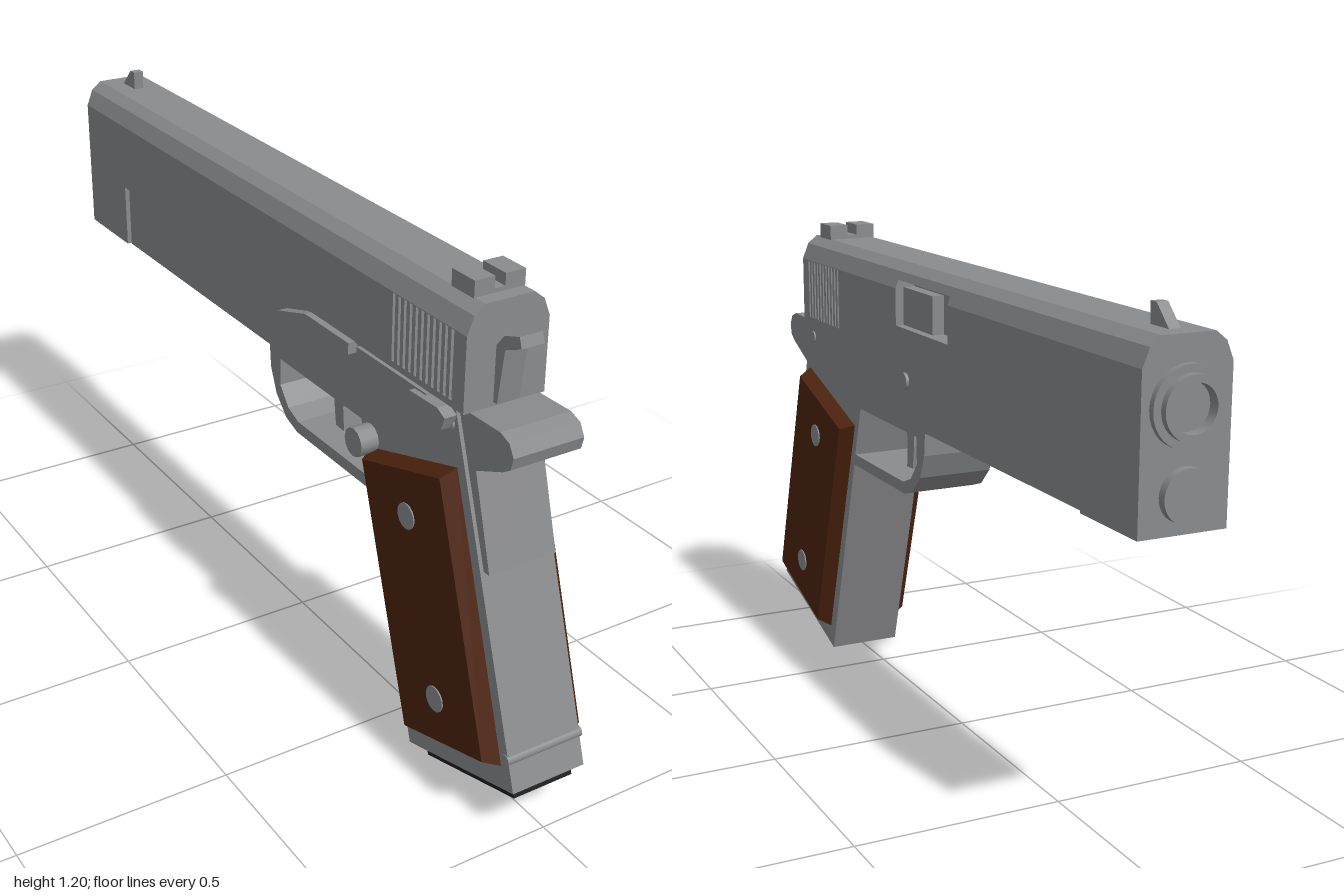
import * as THREE from 'three';
import { toCreasedNormals } from 'three/addons/utils/BufferGeometryUtils.js';

export function createModel() {
  const steel = new THREE.MeshStandardMaterial({ color: 0x8a8b8d });
  steel.name = 'steel grey';
  const wood = new THREE.MeshStandardMaterial({ color: 0x4e240f });
  wood.name = 'walnut brown';
  const black = new THREE.MeshStandardMaterial({ color: 0x1e1d20 });
  black.name = 'magazine black';

  const model = new THREE.Group();
  model.name = 'pistol';
  model.position.x = 0.004;

  function add(name, geometry, material = steel) {
    const mesh = new THREE.Mesh(geometry, material);
    mesh.name = name;
    model.add(mesh);
    return mesh;
  }
  const outline = (pts) => new THREE.Shape(pts.map(([a, b]) => new THREE.Vector2(a, b)));

  // Side profile of [z, y] points, extruded across the width from x0 to x1
  function side(name, pts, x0, x1, material = steel, hole = null) {
    const shape = outline(pts);
    if (hole) shape.holes.push(outline(hole));
    const geo = new THREE.ExtrudeGeometry(shape, { depth: x1 - x0, bevelEnabled: false });
    geo.rotateY(-Math.PI / 2).translate(x1, 0, 0);
    return add(name, geo, material);
  }
  // Cross-section of [x, y] points, extruded from z0 to z1
  function section(name, pts, z0, z1) {
    const geo = new THREE.ExtrudeGeometry(outline(pts), { depth: z1 - z0, bevelEnabled: false });
    return add(name, geo.translate(0, 0, z0));
  }
  // Round pin lying across the width
  function pin(name, z, y, r, x0, x1, sides = 16) {
    const geo = new THREE.CylinderGeometry(r, r, x1 - x0, sides);
    return add(name, geo.rotateZ(Math.PI / 2).translate((x0 + x1) / 2, y, z));
  }

  // Slide: sections with optional cuts in the sides
  const W = 0.101;
  const cut = (x, y0, y1, d) => [[x, y0], [x - Math.sign(x) * d, y0], [x - Math.sign(x) * d, y1], [x, y1]];
  function slideSection(bottom, rightCut = [], leftCut = []) {
    return [
      [-W, bottom], [W, bottom], ...rightCut, [W, 1.09], [0.085, 1.13], [0.06, 1.15],
      [-0.06, 1.15], [-0.085, 1.13], [-W, 1.09], ...leftCut.slice().reverse(),
    ];
  }
  const plain = slideSection(0.92);
  section('slideNose', slideSection(0.76), -0.97, -0.755);
  section('slideFront', plain, -0.755, -0.14);
  const port = [
    [-W, 0.92], [W, 0.92], [W, 1.0], [0.05, 1.0], [0.05, 1.11], [0.093, 1.11],
    [0.085, 1.13], [0.06, 1.15], [-0.06, 1.15], [-0.085, 1.13], [-W, 1.09],
  ];
  section('slideEjectionPort', port, -0.14, 0.15);
  section('slideMiddle', plain, 0.15, 0.52);

  // Rear grip grooves
  const grooved = slideSection(0.92, cut(W, 0.935, 1.088, 0.01), cut(-W, 0.935, 1.088, 0.01));
  const pitch = 0.0205, grooveWidth = 0.009, grooves = 11;
  for (let i = 0; i < grooves; i++) {
    const z = 0.52 + i * pitch;
    section('slideGroove', grooved, z, z + grooveWidth);
    section('slideRib', plain, z + grooveWidth, z + pitch);
  }
  section('slideRear', plain, 0.52 + grooves * pitch, 0.775);

  // Chamber seen through the ejection port
  side('chamber', [[0.15, 1.0], [0.15, 1.092], [-0.015, 1.092], [-0.015, 1.0]], 0.03, 0.08);

  // Muzzle bushing with barrel, and the recoil plug below
  function turned(name, pts, y) {
    const lathe = new THREE.LatheGeometry(pts.map(([r, h]) => new THREE.Vector2(r, h)), 32);
    add(name, toCreasedNormals(lathe.rotateX(-Math.PI / 2).translate(0, y, 0), 0.6));
  }
  turned('muzzle', [[0.083, 0.96], [0.083, 0.984], [0.066, 0.984], [0.066, 1.0],
    [0.05, 1.0], [0.05, 0.973], [0, 0.973]], 1.012);
  turned('recoilPlug', [[0.056, 0.96], [0.056, 0.99], [0, 0.99]], 0.84);

  // Sights
  side('frontSight', [[-0.855, 1.145], [-0.925, 1.145], [-0.875, 1.195], [-0.853, 1.195]], -0.013, 0.013);
  for (const s of [-1, 1]) {
    const lump = new THREE.BoxGeometry(0.049, 0.04, 0.075);
    add('rearSight', lump.translate(s * 0.0375, 1.166, 0.703));
  }
  add('rearSightBase', new THREE.BoxGeometry(0.03, 0.012, 0.075).translate(0, 1.153, 0.703));

  // Frame with grip and trigger guard in one profile
  side('frame', [
    [0.74, 0.92], [1.0, 0.128], [0.625, 0.01], [0.448, 0.583], [0.125, 0.583],
    [0.075, 0.6], [0.03, 0.645], [0.005, 0.705], [0, 0.762], [-0.745, 0.762], [-0.745, 0.92],
  ], -0.094, 0.094, steel, [
    [0.4, 0.743], [0.05, 0.743], [0.048, 0.675], [0.085, 0.63], [0.13, 0.612], [0.44, 0.612],
  ]);
  side('trigger', [[0.245, 0.75], [0.233, 0.68], [0.238, 0.62], [0.203, 0.622], [0.195, 0.68], [0.195, 0.75]],
    -0.035, 0.035);

  // Hammer and grip safety
  side('hammer', [
    [0.77, 0.93], [0.787, 0.93], [0.803, 1.055], [0.853, 1.077], [0.845, 1.1], [0.8, 1.085], [0.77, 1.05],
  ], -0.028, 0.028);
  side('beavertail', [
    [0.72, 0.92], [0.875, 0.923], [0.905, 0.912], [0.92, 0.885], [0.913, 0.857],
    [0.89, 0.842], [0.795, 0.8], [0.72, 0.8],
  ], -0.085, 0.089);
  side('gripSafety', [[0.765, 0.81], [0.805, 0.805], [0.867, 0.59], [0.83, 0.59]], -0.085, 0.085);

  // Wooden grip panels with bevelled borders, showing on both sides
  const panels = new THREE.ExtrudeGeometry(
    outline([[0.755, 0.79], [0.955, 0.172], [0.642, 0.07], [0.44, 0.69]]),
    { depth: 0.19, bevelThickness: 0.035, bevelSize: 0.016, bevelOffset: -0.016, bevelSegments: 1 });
  add('gripPanels', panels.rotateY(-Math.PI / 2).translate(0.095, 0, 0), wood);
  for (const s of [-1, 1]) {
    const [a, b] = s > 0 ? [0.12, 0.133] : [-0.133, -0.12];
    pin('gripScrewTop', 0.634, 0.626, 0.03, a, b);
    pin('gripScrewBottom', 0.762, 0.234, 0.03, a, b);
  }

  // Magazine base
  side('magazineBase', [[0.975, 0.125], [0.984, 0.098], [0.674, 0], [0.665, 0.027]], -0.077, 0.077, black);

  // Controls on the right side of the model
  side('slideStop', [
    [0.08, 0.855], [0.08, 0.885], [0.13, 0.9], [0.2, 0.922], [0.38, 0.922], [0.38, 0.895], [0.22, 0.89], [0.13, 0.855],
  ], -0.118, -0.09);
  side('safetyBar', [[0.4, 0.895], [0.4, 0.92], [0.66, 0.92], [0.66, 0.89]], -0.11, -0.09);
  side('safetyThumbPiece', [
    [0.6, 0.895], [0.62, 0.915], [0.72, 0.918], [0.745, 0.905], [0.735, 0.875], [0.66, 0.87],
  ], -0.124, -0.09);
  pin('magazineButton', 0.437, 0.713, 0.034, -0.139, -0.08, 12);

  // Cross pins
  pin('slideStopPin', 0.11, 0.87, 0.021, -0.1, 0.102);
  pin('safetyPin', 0.725, 0.88, 0.016, -0.1, 0.098);
  pin('housingPin', 0.968, 0.195, 0.013, -0.096, 0.1);

  return model;
}
